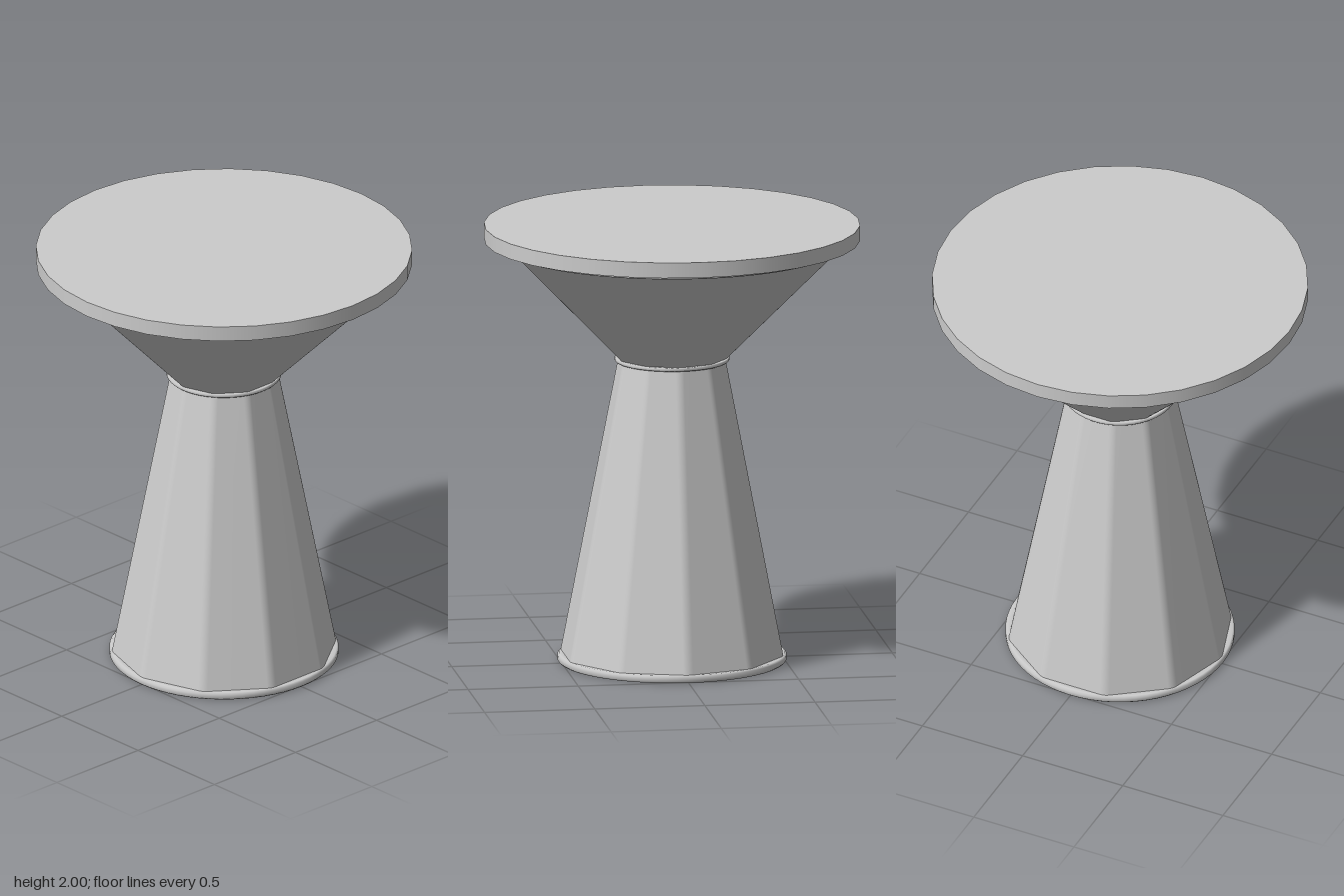
import * as THREE from 'three';

const SIDES = 10;
const ARC = 4; // segments in each rounded corner

// Decagon with rounded corners, one corner on +x
function roundedDecagon(radius, fillet) {
  const half = Math.PI / SIDES;
  const centre = radius - fillet / Math.cos(half);
  const points = [];
  for (let i = 0; i < SIDES; i++) {
    const a = i * 2 * half;
    for (let j = 0; j <= ARC; j++) {
      const b = a - half + (2 * half * j) / ARC;
      points.push([
        centre * Math.cos(a) + fillet * Math.cos(b),
        centre * Math.sin(a) + fillet * Math.sin(b),
      ]);
    }
  }
  return points;
}

// Skin between two rounded decagons; inward flips the faces
function skin(y0, r0, y1, r1, inward) {
  const rings = [[y0, r0], [y1, r1]];
  const positions = [];
  for (const [y, r] of rings) {
    for (const [x, z] of roundedDecagon(r, 0.05 + 0.04 * r)) positions.push(x, y, z);
  }
  const n = SIDES * (ARC + 1);
  const index = [];
  for (let i = 0; i < n; i++) {
    const a = i, b = (i + 1) % n, c = a + n, d = b + n;
    if (inward) index.push(a, b, c, b, d, c);
    else index.push(a, c, b, b, c, d);
  }
  const geometry = new THREE.BufferGeometry();
  geometry.setAttribute('position', new THREE.Float32BufferAttribute(positions, 3));
  geometry.setIndex(index);
  geometry.computeVertexNormals();
  return geometry;
}

// Round band with small softened corners
function band(inner, outer, y0, y1, bevel) {
  const profile = [
    [inner, y0 + bevel], [inner + bevel, y0], [outer - bevel, y0], [outer, y0 + bevel],
    [outer, y1 - bevel], [outer - bevel, y1], [inner + bevel, y1], [inner, y1 - bevel],
    [inner, y0 + bevel],
  ].map(([x, y]) => new THREE.Vector2(x, y));
  return new THREE.LatheGeometry(profile, 64);
}

export function createModel() {
  const group = new THREE.Group();
  const material = new THREE.MeshStandardMaterial({ color: 0xcccccc });
  const add = (name, geometry) => {
    const mesh = new THREE.Mesh(geometry, material);
    mesh.name = name;
    group.add(mesh);
    return mesh;
  };

  // Faceted hollow pedestal and flared support
  const wall = 0.015;
  const shells = [
    ['pedestal', 0.015, 0.513, 1.385, 0.246],
    ['flare', 1.385, 0.246, 1.917, 0.775],
  ];
  for (const [name, y0, r0, y1, r1] of shells) {
    add(name + 'Outside', skin(y0, r0, y1, r1, false));
    add(name + 'Inside', skin(y0, r0 - wall, y1, r1 - wall, true));
  }

  // Rings at the foot, the neck and under the top
  add('footRing', band(0.472, 0.515, 0, 0.035, 0.008));
  add('neckRing', band(0.215, 0.258, 1.375, 1.393, 0.004));
  add('topRing', band(0.72, 0.79, 1.912, 1.932, 0.004));

  // Round table top
  const top = add('tableTop', new THREE.CylinderGeometry(0.845, 0.845, 0.07, 32));
  top.position.y = 1.965;

  return group;
}
